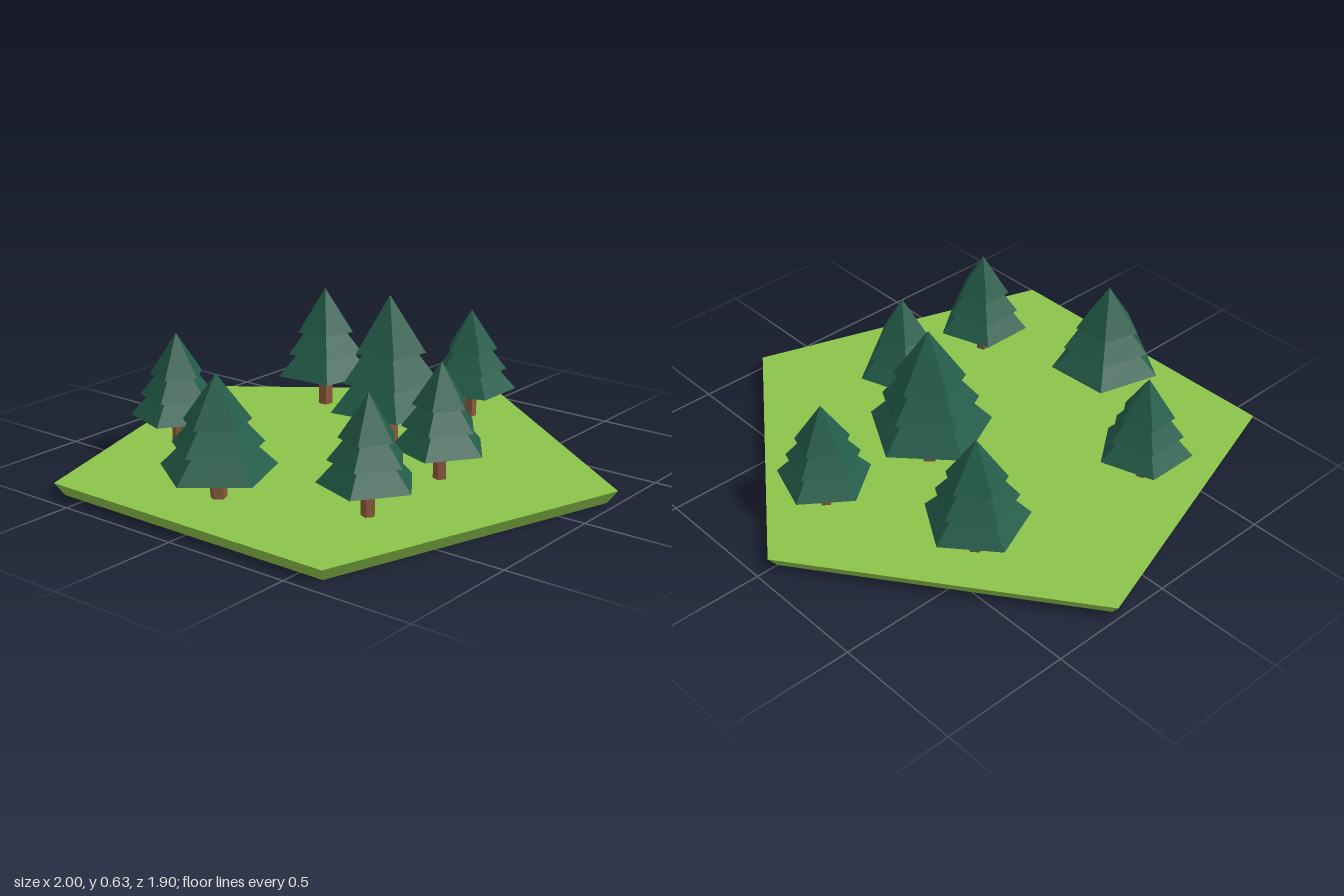
import * as THREE from 'three';

const paint = (color) => new THREE.MeshStandardMaterial({ color, flatShading: true });
const grass = paint(0x8bc34a);
const bark = paint(0x8b5a3c);
const needles = paint(0x235c49);

const GROUND = 0.05;

// x, z, skirt radius, skirt height, tip height, turn in degrees
const TREES = [
  [0.107, -0.603, 0.18, 0.166, 0.487, 53.5],
  [-0.448, -0.372, 0.199, 0.183, 0.533, 40.7],
  [0.046, -0.15, 0.241, 0.195, 0.626, 43.3],
  [0.43, 0.054, 0.18, 0.166, 0.487, 18],
  [-0.565, 0.365, 0.18, 0.166, 0.487, 18],
  [0.449, 0.497, 0.18, 0.166, 0.487, 18],
  [-0.065, 0.685, 0.217, 0.15, 0.5, 3.1],
];

// Each tier: bottom radius, top radius (of skirt radius), bottom, top (of crown height)
const TIERS = [
  ['lowerBranches', 1, 0.6, 0, 0.25],
  ['middleBranches', 0.79, 0.44, 0.25, 0.5],
  ['upperBranches', 0.58, 0, 0.5, 1],
];

// Five-sided frustum standing between two heights
function frustum(name, rBottom, rTop, y0, y1, material) {
  const geometry = new THREE.CylinderGeometry(rTop, rBottom, y1 - y0, 5);
  geometry.translate(0, (y0 + y1) / 2, 0);
  const mesh = new THREE.Mesh(geometry, material);
  mesh.name = name;
  return mesh;
}

function makeTree([x, z, radius, skirt, tip, turn]) {
  const tree = new THREE.Group();
  tree.name = 'pineTree';
  const rTrunk = radius * 0.145;
  tree.add(frustum('trunk', rTrunk, rTrunk, GROUND - 0.005, skirt + 0.02, bark));
  const crown = tip - skirt;
  for (const [name, rb, rt, b, t] of TIERS) {
    tree.add(frustum(name, radius * rb, radius * rt, skirt + crown * b, skirt + crown * t, needles));
  }
  tree.position.set(x, 0, z);
  tree.rotation.y = THREE.MathUtils.degToRad(turn);
  return tree;
}

export function createModel() {
  const model = new THREE.Group();
  model.name = 'forestTile';

  // Pentagonal ground slab, narrower underneath, with one corner to the back
  const ground = frustum('ground', 1.012, 1.051, 0, GROUND, grass);
  ground.rotation.y = Math.PI;
  ground.position.z = 0.1;
  model.add(ground);

  for (const spec of TREES) model.add(makeTree(spec));
  return model;
}
